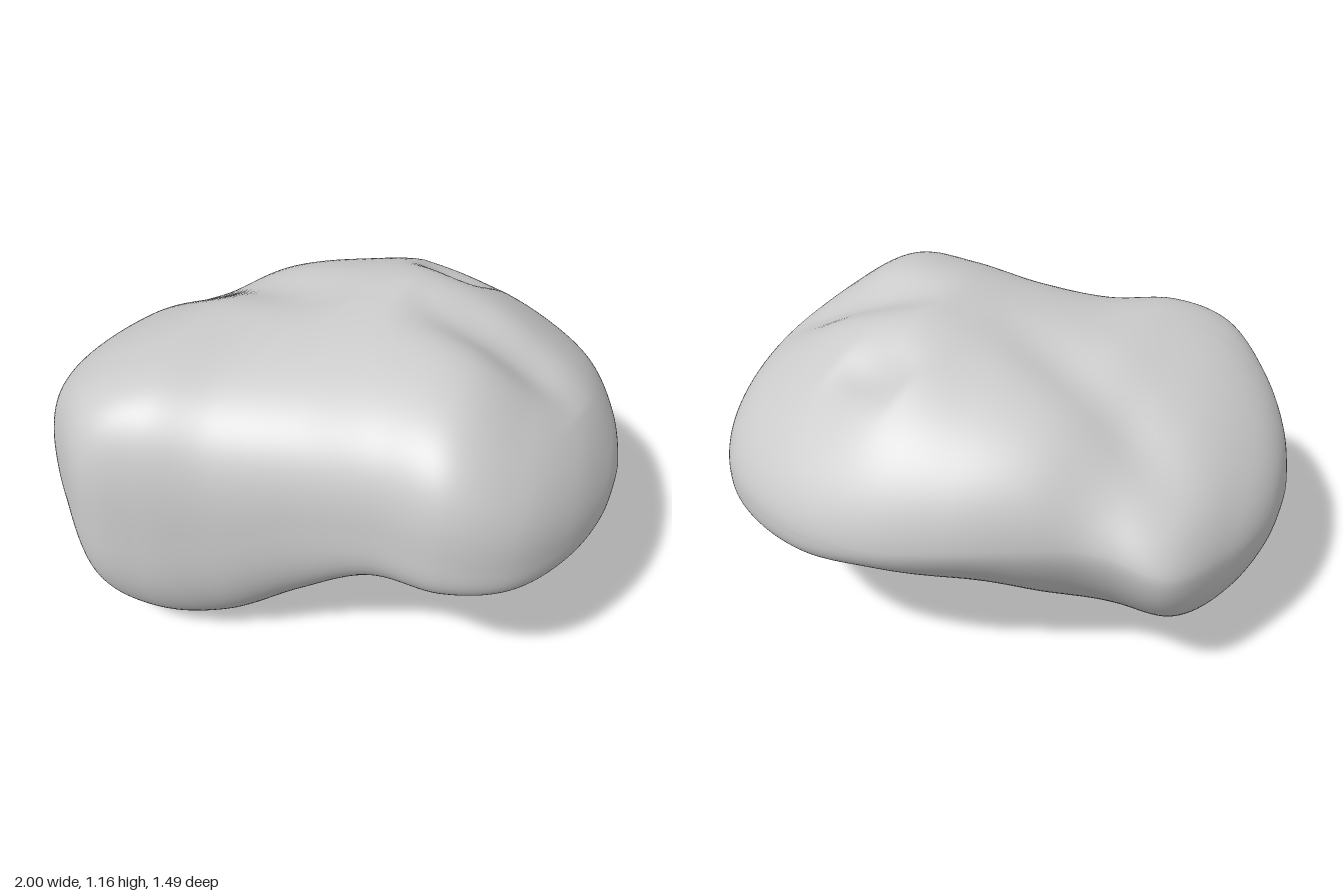
import * as THREE from 'three';
import { mergeVertices } from 'three/addons/utils/BufferGeometryUtils.js';

// Section values at 13 stations, x = -cos(t), t from 0 to PI
const S = {
  zFront: [.1, .29, .47, .66, .69, .67, .66, .69, .74, .67, .49, .26, .03],
  zBack: [.1, -.12, -.34, -.56, -.6, -.65, -.72, -.75, -.71, -.6, -.44, -.21, .03],
  yTop: [.53, .70, .85, .97, 1.04, 1.065, 1.11, 1.155, 1.125, 1.0, .87, .72, .6],
  yBottom: [.53, .37, .21, .08, 0, .02, .18, .375, .43, .44, .44, .48, .6],
  zTop: [.1, .15, .24, .3, .26, .05, -.05, -.08, .08, .08, .04, .03, .03],
  zBottom: [.1, .12, .15, .2, .2, .2, .15, .05, 0, 0, .02, .03, .03],
  yFront: [.53, .53, .53, .5, .5, .55, .65, .7, .68, .64, .62, .6, .6],
  yBack: [.53, .53, .53, .55, .61, .63, .63, .62, .62, .62, .61, .6, .6],
  // Roundness of the four quarters of each section
  nTopFront: [2, 2.4, 3, 3.4, 3.3, 3, 2.8, 2.8, 2.8, 2.6, 2.3, 2, 2],
  nLowFront: [2, 2.2, 2.4, 2.7, 2.8, 2.7, 2.8, 3.3, 3.8, 3.6, 2.8, 2.2, 2],
  nLowBack: [2, 2.1, 2.1, 1.8, 1.55, 1.52, 1.65, 2.3, 3.3, 3.4, 2.8, 2.2, 2],
  nTopBack: [2, 1.8, 1.65, 1.6, 1.75, 2.2, 2, 1.75, 1.7, 1.8, 1.9, 2, 2],
};

// Catmull-Rom value of a table at k in 0..1
function sample(table, k) {
  const f = k * (table.length - 1), i = Math.min(Math.floor(f), table.length - 2), u = f - i;
  const p1 = table[i], p2 = table[i + 1];
  const p0 = i > 0 ? table[i - 1] : p1, p3 = table[i + 2] ?? p2;
  const m1 = (p2 - p0) / 2, m2 = (p3 - p1) / 2;
  return p1 + u * (m1 + u * (3 * (p2 - p1) - 2 * m1 - m2 + u * (2 * (p1 - p2) + m1 + m2)));
}

// Soft groove, fading to both ends: start x, z, end x, z, width, depth
const grooves = [
  [.22, -.02, .85, .15, .13, .065],
  [-.75, -.42, .05, .02, .13, .04],
  [.2, -.42, .48, -.3, .09, .045],
];
function grooveDepth(x, z) {
  let sum = 0;
  for (const [x0, z0, x1, z1, w, d] of grooves) {
    const dx = x1 - x0, dz = z1 - z0;
    const t = THREE.MathUtils.clamp(((x - x0) * dx + (z - z0) * dz) / (dx * dx + dz * dz), 0, 1);
    const r2 = (x - x0 - t * dx) ** 2 + (z - z0 - t * dz) ** 2;
    sum += d * Math.sin(Math.PI * t) * Math.exp(-r2 / (w * w));
  }
  return sum;
}

// One point of the section: four quarter superellipses joined at their extremes
function surfacePoint(k, a) {
  const v = {};
  for (const key in S) v[key] = sample(S[key], k);
  const x = -Math.cos(k * Math.PI);
  const c = Math.cos(a), s = Math.sin(a);
  const front = s >= 0, top = c >= 0;
  const n = top ? (front ? v.nTopFront : v.nTopBack) : (front ? v.nLowFront : v.nLowBack);
  const r = (Math.abs(c) ** n + Math.abs(s) ** n) ** (-1 / n);
  const pc = Math.abs(c) * r, ps = Math.abs(s) * r;
  const zMid = top ? v.zTop : v.zBottom, yMid = front ? v.yFront : v.yBack;
  let z = zMid + ((front ? v.zFront : v.zBack) - zMid) * ps;
  let y = yMid + ((top ? v.yTop : v.yBottom) - yMid) * pc;
  // Grooves press into the top, a narrow hollow into the underside
  const facing = THREE.MathUtils.smoothstep(pc, 0, .6);
  if (top) y -= facing * grooveDepth(x, z);
  else y += facing * .13 * Math.exp(-(((x - .4) / .2) ** 2) - (((z - .03) / .26) ** 2));
  // The valley runs on down the back, between the two lobes
  if (!front) z += .025 * ps * ps * Math.exp(-(((x + .42) / .13) ** 2));
  return [x, y, z];
}

function bodyGeometry(nx, na) {
  const pos = [], idx = [];
  for (let i = 0; i <= nx; i++) {
    for (let j = 0; j < na; j++) pos.push(...surfacePoint(i / nx, (j / na) * Math.PI * 2));
  }
  for (let i = 0; i < nx; i++) {
    for (let j = 0; j < na; j++) {
      const a = i * na + j, b = i * na + (j + 1) % na;
      if (i > 0) idx.push(a, b, a + na);
      if (i < nx - 1) idx.push(b, b + na, a + na);
    }
  }
  const raw = new THREE.BufferGeometry();
  raw.setAttribute('position', new THREE.Float32BufferAttribute(pos, 3));
  raw.setIndex(idx);
  const geo = mergeVertices(raw, 1e-5);
  geo.computeVertexNormals();
  return geo;
}

export function createModel() {
  const group = new THREE.Group();
  const body = new THREE.Mesh(
    bodyGeometry(128, 160),
    new THREE.MeshStandardMaterial({ color: 0xcccccc }),
  );
  body.name = 'softLobedBody';
  group.add(body);
  return group;
}
